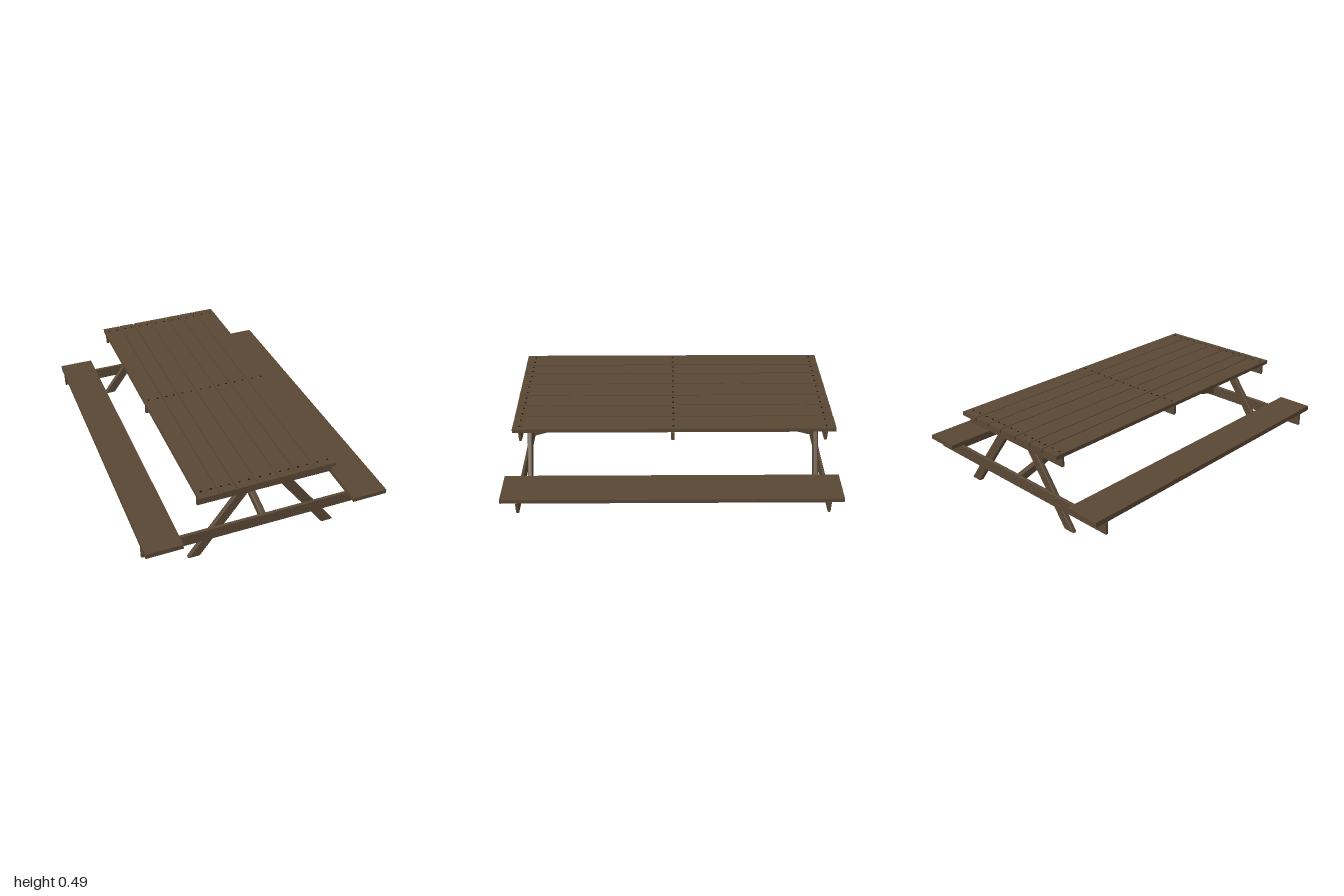
import * as THREE from 'three';
import { RoundedBoxGeometry } from 'three/addons/geometries/RoundedBoxGeometry.js';

export function createModel() {
  const model = new THREE.Group();
  model.name = 'picnicTable';
  const wood = new THREE.MeshStandardMaterial({ name: 'brown wood', color: 0x594734 });
  const iron = new THREE.MeshStandardMaterial({ name: 'dark nail', color: 0x1c1510 });

  const add = (name, geometry, material = wood) => {
    const mesh = new THREE.Mesh(geometry, material);
    mesh.name = name;
    model.add(mesh);
    return mesh;
  };

  // Sharp-edged board between two corners
  const board = (name, [x0, y0, z0], [x1, y1, z1]) => {
    const g = new THREE.BoxGeometry(x1 - x0, y1 - y0, z1 - z0);
    g.translate((x0 + x1) / 2, (y0 + y1) / 2, (z0 + z1) / 2);
    return add(name, g);
  };

  // Soft-edged timber between two corners, with optional slant:
  // x shifts by leanX per unit of y, y shifts by riseZ per unit of z
  const timber = (name, [x0, y0, z0], [x1, y1, z1], leanX = 0, riseZ = 0) => {
    const size = [x1 - x0, y1 - y0, z1 - z0];
    const g = new RoundedBoxGeometry(...size, 2, Math.min(...size) * 0.25);
    g.applyMatrix4(new THREE.Matrix4().set(
      1, leanX, 0, (x0 + x1) / 2,
      0, 1, riseZ, (y0 + y1) / 2,
      0, 0, 1, (z0 + z1) / 2,
      0, 0, 0, 1));
    return add(name, g);
  };

  // Table top planks with slightly uneven widths and ends
  const planks = [
    [-0.413, -0.298], [-0.292, -0.196], [-0.19, -0.075], [-0.07, 0.052],
    [0.057, 0.158], [0.163, 0.275], [0.28, 0.405],
  ];
  const nail = new THREE.CylinderGeometry(0.006, 0.006, 0.004, 8);
  planks.forEach(([x0, x1], i) => {
    const shift = i * 0.0015;
    board('topPlank', [x0, 0.466, -0.967 - shift], [x1, 0.489, 0.955 - shift]);
    // Two nails per plank above each cleat
    for (const z of [-0.92, -0.01, 0.903])
      for (const t of [0.25, 0.75])
        add('nail', nail, iron).position.set(x0 + (x1 - x0) * t, 0.489, z);
  });

  // Cleats below the top
  timber('frontCleat', [-0.41, 0.404, 0.894], [0.405, 0.467, 0.912]);
  timber('middleCleat', [-0.41, 0.404, -0.016], [0.405, 0.467, 0.004]);
  timber('backCleat', [-0.41, 0.404, -0.928], [0.405, 0.467, -0.91]);

  // Cross beams carrying the benches
  timber('frontCrossBeam', [-0.736, 0.126, 0.894], [0.736, 0.203, 0.912]);
  timber('backCrossBeam', [-0.736, 0.126, -0.928], [0.736, 0.203, -0.91]);

  for (const side of [-1, 1]) {
    // Splayed legs
    for (const [name, z0, z1] of [['frontLeg', 0.867, 0.895], ['backLeg', -0.911, -0.883]])
      timber(name, [side * 0.253 - 0.037, 0, z0], [side * 0.253 + 0.037, 0.465, z1], -side * 0.74);

    // Bench seat and the long beam under it
    const x = side * 0.628;
    board('benchSeat', [x - 0.108, 0.204, -1], [x + 0.108, side < 0 ? 0.234 : 0.23, 1]);
    timber('benchBeam', [x - 0.025, 0.13, -0.91], [x + 0.025, 0.206, 0.895]);
  }

  // Diagonal braces from the middle cleat down to the cross beams
  timber('frontBrace', [-0.018, 0.272, -0.004], [0.018, 0.326, 0.895], 0, -0.295);
  timber('backBrace', [-0.018, 0.272, -0.911], [0.018, 0.326, -0.008], 0, 0.295);

  return model;
}
